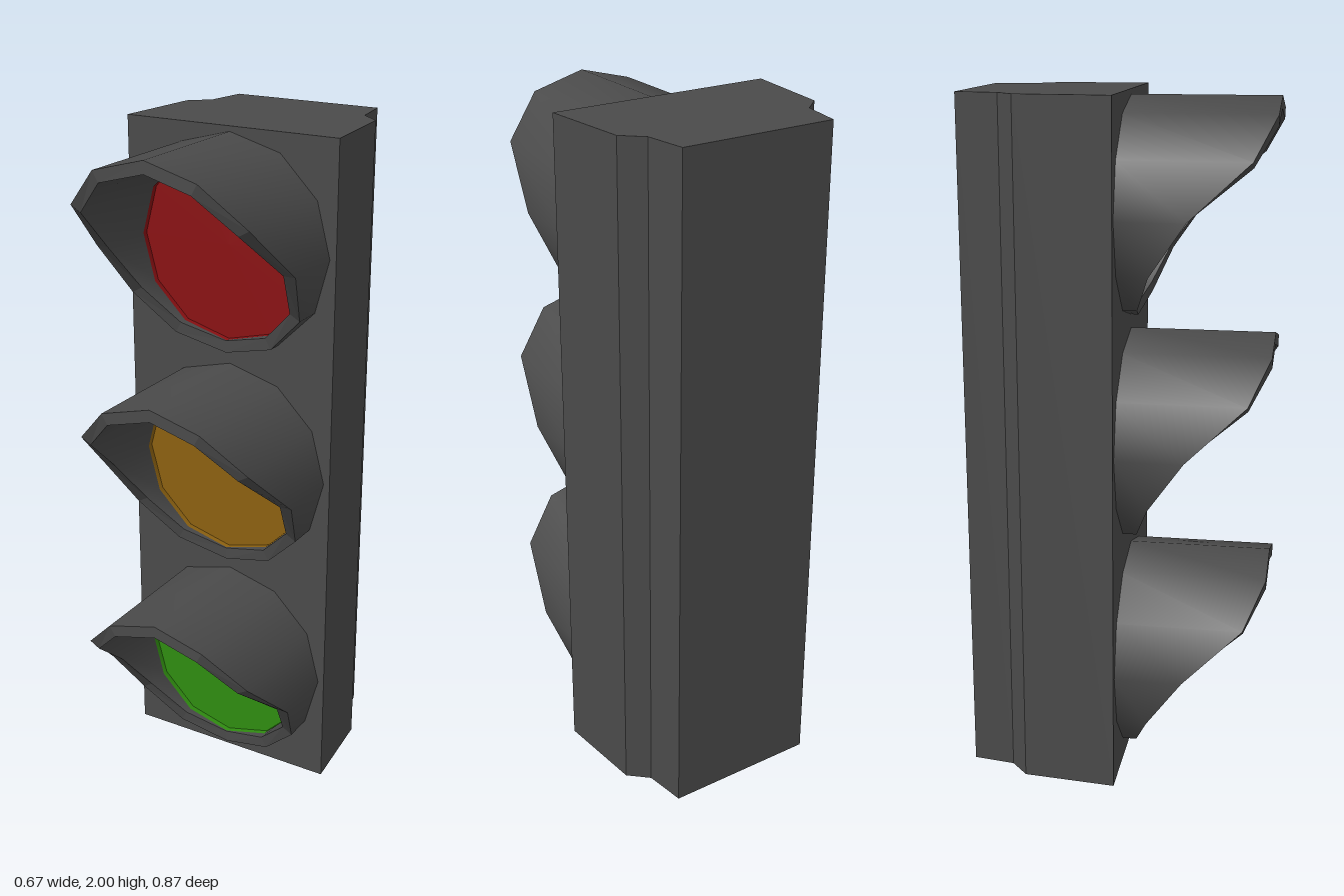
import * as THREE from 'three';

const SIDES = 12, FACE_Z = 0.012, OUTER = 0.314, INNER = 0.278;
// Visor length at each corner, from the top round to the bottom
const REACH = [0.435, 0.435, 0.378, 0.208, 0.1, 0.053, 0.033];

const paint = (name, color) => Object.assign(new THREE.MeshStandardMaterial({ color }), { name });

function addMesh(parent, name, geometry, material) {
  const mesh = new THREE.Mesh(geometry, material);
  mesh.name = name;
  parent.add(mesh);
  return mesh;
}

// Twelve-sided ring of points; depth gives z for each corner
function ring(radius, depth) {
  return Array.from({ length: SIDES }, (_, i) => {
    const a = (i / SIDES) * Math.PI * 2;
    return [radius * Math.sin(a), radius * Math.cos(a), depth(i)];
  });
}

// Closed band of quads between two rings
function band(a, b, flat = false) {
  let g = new THREE.BufferGeometry();
  g.setAttribute('position', new THREE.Float32BufferAttribute([...a, ...b].flat(), 3));
  const index = [];
  for (let i = 0; i < SIDES; i++) {
    const j = (i + 1) % SIDES;
    index.push(i, j, SIDES + j, i, SIDES + j, SIDES + i);
  }
  g.setIndex(index);
  if (flat) g = g.toNonIndexed();
  g.computeVertexNormals();
  return g;
}

export function createModel() {
  const model = new THREE.Group();
  model.name = 'trafficLight';
  const grey = paint('darkGrey', 0x4a4a4a);
  const lamps = [
    ['green', 0.337, paint('green', 0x2f8c10)],
    ['amber', 1.004, paint('amber', 0x8c6110)],
    ['red', 1.671, paint('red', 0x8a1012)],
  ];

  // Housing: stepped plan extruded upwards
  const half = [[0.333, FACE_Z], [0.307, -0.26], [0.249, -0.312], [0.23, -0.435]];
  const plan = [...half, ...half.map(([x, z]) => [-x, z]).reverse()];
  const shape = new THREE.Shape(plan.map(([x, z]) => new THREE.Vector2(x, -z)));
  const body = new THREE.ExtrudeGeometry(shape, { depth: 2, bevelEnabled: false });
  body.rotateX(-Math.PI / 2);
  addMesh(model, 'housing', body, grey);

  // Lamps, each with a scooped visor
  const base = () => FACE_Z;
  const front = (i) => REACH[Math.min(i, SIDES - i)];
  for (const [name, y, colour] of lamps) {
    const lamp = new THREE.Group();
    lamp.name = name + 'Lamp';
    lamp.position.y = y;
    addMesh(lamp, 'visorOutside', band(ring(OUTER, front), ring(OUTER, base)), grey);
    addMesh(lamp, 'visorInside', band(ring(INNER, base), ring(INNER, front)), grey);
    addMesh(lamp, 'visorEdge', band(ring(INNER, front), ring(OUTER, front), true), grey);
    addMesh(lamp, 'lensRim', band(ring(INNER - 0.002, base), ring(INNER - 0.002, () => 0.032)), colour);
    addMesh(lamp, 'lens', new THREE.CircleGeometry(INNER, SIDES), colour).position.z = FACE_Z + 0.003;
    model.add(lamp);
    // Small grey spot on the top lens
    if (name === 'red') {
      addMesh(lamp, 'lensSpot', new THREE.CircleGeometry(0.038, 16), grey).position.set(0, 0.094, FACE_Z + 0.007);
    }
  }
  return model;
}
